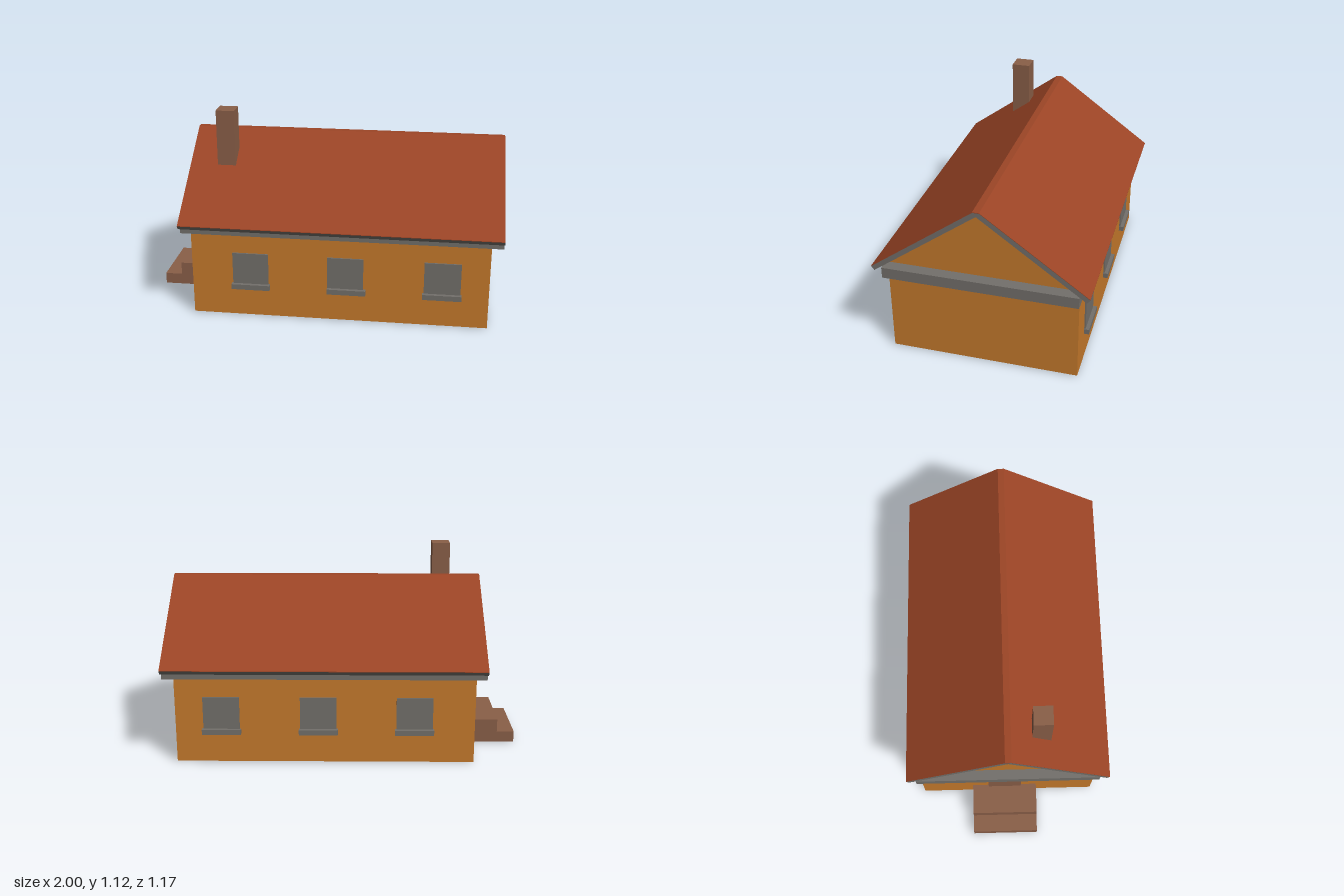
import * as THREE from 'three';

function makeMaterial(name, color) {
  const m = new THREE.MeshStandardMaterial({ color });
  m.name = name;
  return m;
}

export function createModel() {
  const wall = makeMaterial('ochre wall', 0xc67a2c);
  const tile = makeMaterial('red roof tile', 0x9c4526);
  const trim = makeMaterial('grey trim', 0x73706b);
  const brown = makeMaterial('brown brick and wood', 0x8a5f48);
  const black = makeMaterial('black handle', 0x1c1a19);

  const house = new THREE.Group();
  house.name = 'house';

  const add = (name, geometry, material, parent = house) => {
    const mesh = new THREE.Mesh(geometry, material);
    mesh.name = name;
    parent.add(mesh);
    return mesh;
  };
  // Box given by its limits on each axis
  const box = (name, [x0, x1], [y0, y1], [z0, z1], material, parent) => {
    const g = new THREE.BoxGeometry(x1 - x0, y1 - y0, z1 - z0);
    g.translate((x0 + x1) / 2, (y0 + y1) / 2, (z0 + z1) / 2);
    return add(name, g, material, parent);
  };
  const extrude = (points, depth) => new THREE.ExtrudeGeometry(
    new THREE.Shape(points.map(p => new THREE.Vector2(...p))),
    { depth, bevelEnabled: false });
  // Cross-section in z and y, swept along x
  const sweepX = (points, x0, x1) =>
    extrude(points, x1 - x0).rotateY(Math.PI / 2).translate(x0, 0, 0);
  const mirrored = half => [...half, ...half.map(([z, y]) => [-z, y]).reverse()];

  const bodyX = [-0.727, 0.936], roofX = [-0.784, 1];

  // Walls, with a brown underside
  box('walls', bodyX, [0.003, 0.49], [-0.516, 0.516],
    [wall, wall, wall, brown, wall, wall]);
  box('eavesBand', roofX, [0.49, 0.552], [-0.527, 0.527], trim);
  add('gables', sweepX([[-0.528, 0.552], [0.528, 0.552], [0, 0.945]], ...bodyX), wall);

  // Pitched slab with a narrow flat ridge, and a thin tile skin on top
  const outer = [[0.583, 0.553], [0.018, 0.964]];
  const slab = [[0, 0.943], [0.567, 0.531], ...outer,
    [-0.018, 0.964], [-0.583, 0.553], [-0.567, 0.531]];
  add('roofSlab', sweepX(slab, ...roofX), trim);
  const skin = [...mirrored(outer),
    ...mirrored(outer.map(([z, y]) => [z, y + 0.003])).reverse()];
  add('roofTiles', sweepX(skin, ...roofX), tile);

  box('chimney', [-0.625, -0.52], [0.76, 1.125], [0.135, 0.241], brown);

  // Three windows with sills on each long wall
  for (const side of [1, -1]) {
    for (const x of [-0.392, 0.142, 0.68]) {
      const win = new THREE.Group();
      win.name = side > 0 ? 'frontWindow' : 'backWindow';
      win.position.set(x, 0, 0);
      if (side < 0) win.rotation.y = Math.PI;
      house.add(win);
      box('pane', [-0.101, 0.101], [0.19, 0.384], [0.51, 0.524], trim, win);
      const shift = side > 0 && x === 0.142 ? 0.007 : 0;
      box('sill', [shift - 0.108, shift + 0.108], [0.17, 0.2], [0.51, 0.544], trim, win);
    }
  }

  // Door and handle on the right end
  box('door', [-0.737, -0.72], [0.14, 0.48], [-0.116, 0.08], brown);
  const handle = add('doorHandle', new THREE.CylinderGeometry(0.008, 0.008, 0.012, 12), black);
  handle.rotation.z = Math.PI / 2;
  handle.position.set(-0.741, 0.336, -0.08);

  // Two steps in one block, running under the wall
  const steps = [[-1, 0], [-0.6, 0], [-0.6, 0.14], [-0.9, 0.14], [-0.9, 0.065], [-1, 0.065]];
  add('steps', extrude(steps, 0.385).translate(0, 0, -0.212), brown);

  return house;
}
